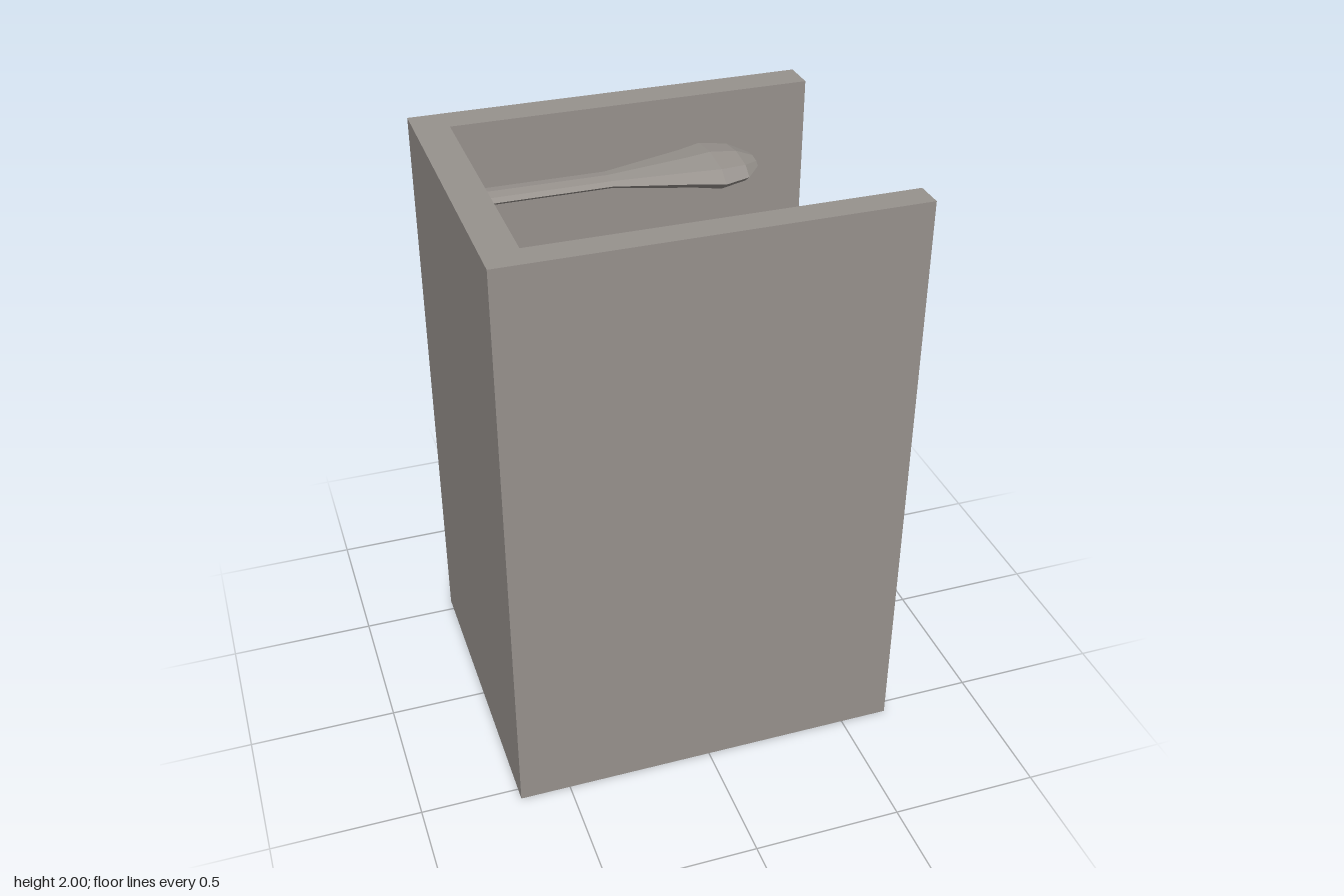
import * as THREE from 'three';

export function createModel() {
  const model = new THREE.Group();
  const stone = new THREE.MeshStandardMaterial({ color: 0x97928d, flatShading: true });
  stone.name = 'warm grey';

  // Three-sided enclosure, open towards +x, extruded from its plan (x, -z)
  const plan = new THREE.Shape([
    [-0.67, -0.545], [0.665, -0.545], [0.665, -0.45], [-0.555, -0.45],
    [-0.555, 0.435], [0.665, 0.435], [0.665, 0.548], [-0.67, 0.548],
  ].map(([x, y]) => new THREE.Vector2(x, y)));
  const wallGeometry = new THREE.ExtrudeGeometry(plan, { depth: 2, bevelEnabled: false });
  wallGeometry.rotateX(-Math.PI / 2);
  const walls = new THREE.Mesh(wallGeometry, stone);
  walls.name = 'walls';
  model.add(walls);

  // Faceted, flattened paddle lying along x: straight handle flaring to a round head
  const profile = [
    [0, -0.556], [0.037, -0.556], [0.052, -0.54], [0.052, -0.165], [0.12, 0.09],
    [0.147, 0.165], [0.12, 0.25], [0.05, 0.305], [0, 0.305],
  ].map(([r, x]) => new THREE.Vector2(r, x));
  const paddleGeometry = new THREE.LatheGeometry(profile, 8);
  paddleGeometry.rotateZ(-Math.PI / 2);
  paddleGeometry.scale(1, 0.31, 1);
  const paddle = new THREE.Mesh(paddleGeometry, stone);
  paddle.name = 'paddle';
  paddle.position.y = 1.95;
  model.add(paddle);

  return model;
}
